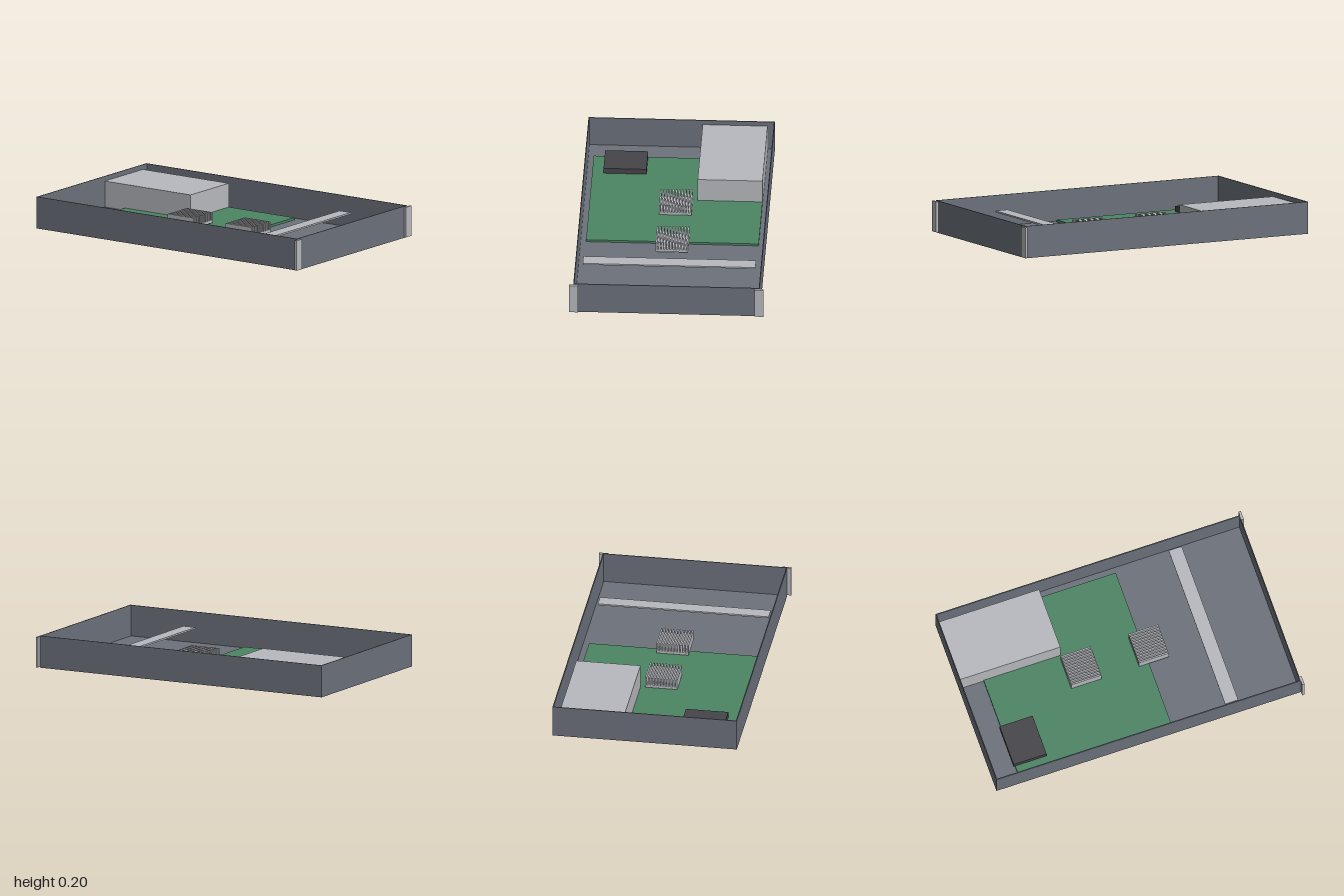
import * as THREE from 'three';

const mat = (name, color) => {
  const m = new THREE.MeshStandardMaterial({ color });
  m.name = name;
  return m;
};

export function createModel() {
  const steel = mat('slate steel', 0x6c717b);
  const metal = mat('light metal', 0xb8b9be);
  const green = mat('board green', 0x4c8564);
  const dark = mat('dark plastic', 0x454449);

  const model = new THREE.Group();
  model.name = 'rackServer';

  // Box given by its two extents on each axis
  const box = (parent, name, material, [x0, x1], [y0, y1], [z0, z1]) => {
    const mesh = new THREE.Mesh(new THREE.BoxGeometry(x1 - x0, y1 - y0, z1 - z0), material);
    mesh.position.set((x0 + x1) / 2, (y0 + y1) / 2, (z0 + z1) / 2);
    mesh.name = name;
    parent.add(mesh);
    return mesh;
  };

  // Open-topped chassis
  const W = 0.575, H = 0.2, T = 0.006, back = -1, front = 0.985;
  const chassis = new THREE.Group();
  chassis.name = 'chassis';
  model.add(chassis);
  box(chassis, 'floor', steel, [-W, W], [0, T], [back, front]);
  box(chassis, 'backWall', steel, [-W + T, W - T], [T, H], [back, back + T]);
  box(chassis, 'frontPanel', steel, [-W + T, W - T], [T, H], [front - T, front]);
  for (const [side, s] of [['left', 1], ['right', -1]]) {
    const wall = [s * (W - T), s * W].sort((a, b) => a - b);
    box(chassis, side + 'Wall', steel, wall, [T, H], [back, front]);
    // Rack mounting ears
    const ear = [s * 0.545, s * 0.6].sort((a, b) => a - b);
    box(model, side + 'RackEar', metal, ear, [0.005, 0.195], [front, 1]);
  }

  // Circuit board and the parts around it
  box(model, 'mainBoard', green, [-0.535, 0.53], [T, 0.02], [-0.84, 0.16]);
  box(model, 'powerSupply', metal, [0.13, 0.53], [T, 0.17], [back + T, -0.34]);
  box(model, 'expansionModule', dark, [-0.465, -0.2], [0.02, 0.055], [-0.85, -0.635]);
  box(model, 'crossBar', metal, [-0.535, 0.53], [0.1, 0.11], [0.505, 0.59]);

  // Finned heat sinks
  const fins = 11, finWidth = 0.01;
  for (const [name, z] of [['rearHeatSink', -0.25], ['frontHeatSink', 0.192]]) {
    const sink = new THREE.Group();
    sink.name = name;
    sink.position.z = z;
    model.add(sink);
    box(sink, 'sinkBase', metal, [-0.1, 0.1], [0.025, 0.042], [-0.098, 0.098]);
    for (let i = 0; i < fins; i++) {
      const x = -0.1 + (i * (0.2 - finWidth)) / (fins - 1);
      box(sink, 'fin', metal, [x, x + finWidth], [0.042, 0.092], [-0.098, 0.098]);
    }
  }
  return model;
}
